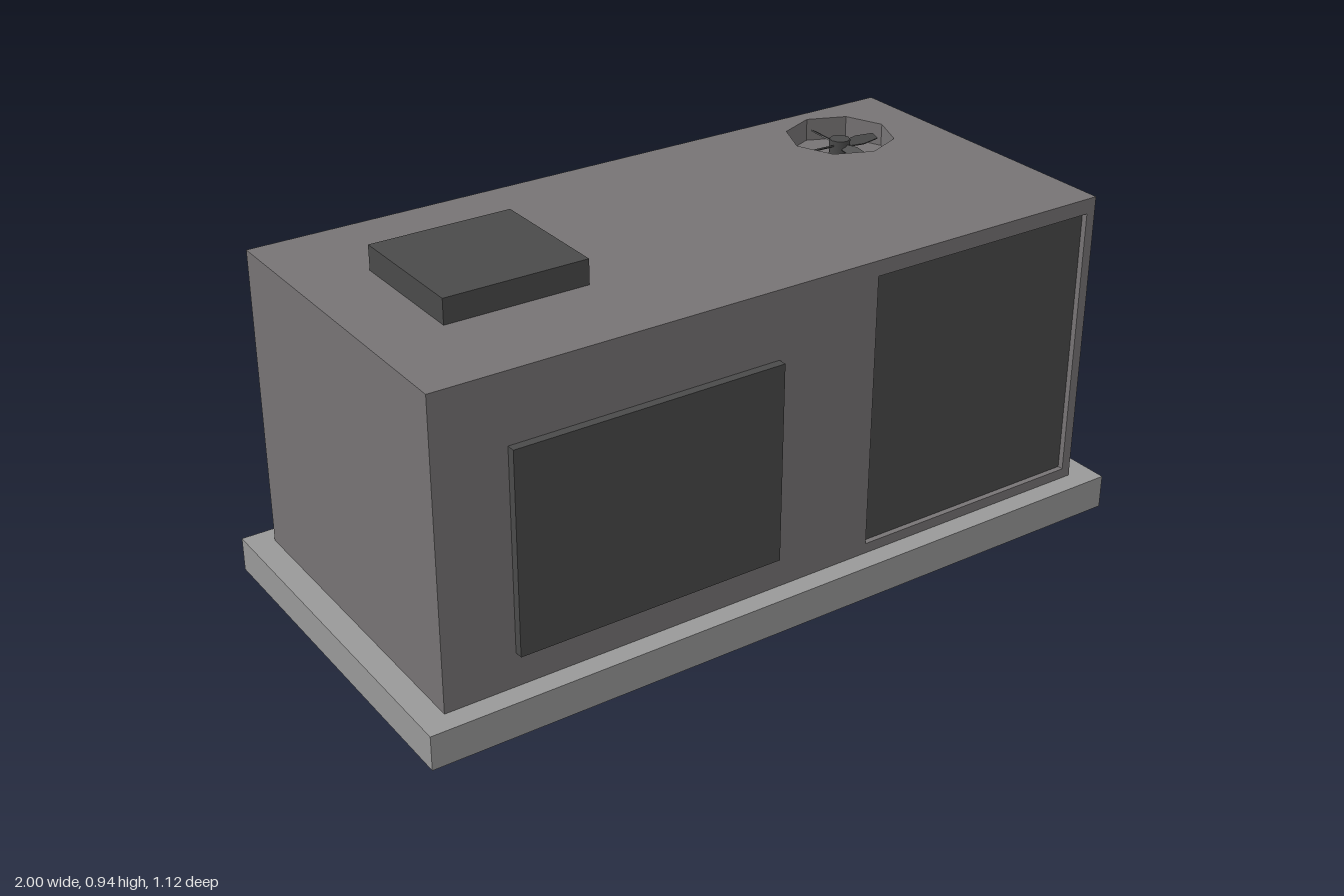
import * as THREE from 'three';

export function createModel() {
  const model = new THREE.Group();
  const mat = (name, color, side = THREE.FrontSide) => {
    const m = new THREE.MeshStandardMaterial({ color, side });
    m.name = name;
    return m;
  };
  const light = mat('lightGrey', 0x999999);
  const grey = mat('wallGrey', 0x777475);
  const dark = mat('darkGrey', 0x4a4a4a, THREE.DoubleSide);

  const add = (name, geometry, material, parent = model) => {
    const mesh = new THREE.Mesh(geometry, material);
    mesh.name = name;
    parent.add(mesh);
    return mesh;
  };
  // Box given by its limits on each axis
  const box = (name, [x0, x1], [y0, y1], [z0, z1], material) => {
    const mesh = add(name, new THREE.BoxGeometry(x1 - x0, y1 - y0, z1 - z0), material);
    mesh.position.set((x0 + x1) / 2, (y0 + y1) / 2, (z0 + z1) / 2);
    return mesh;
  };
  const rect = (path, [u0, u1], [v0, v1]) =>
    path.moveTo(u0, v0).lineTo(u1, v0).lineTo(u1, v1).lineTo(u0, v1).closePath();
  const slab = (u, v, hole, depth) => {
    const shape = rect(new THREE.Shape(), u, v);
    shape.holes.push(hole);
    return new THREE.ExtrudeGeometry(shape, { depth, bevelEnabled: false });
  };

  const X = [-0.935, 0.932], Y = [0.09, 0.88], Z = [-0.37, 0.505];
  const skin = 0.02, floorY = 0.82;
  const coreX = [X[0], X[1] - skin], coreZ = [Z[0] + skin, Z[1] - skin];

  // Base and inner body
  box('base', [-1, 1], [0, 0.09], [-0.423, 0.56], light);
  box('bodyCore', coreX, [Y[0], floorY], coreZ, grey);

  // Front and back walls with framed openings
  const openX = [0.245, 0.906], openY = [0.117, 0.84];
  for (const [side, z, paneZ] of [['front', coreZ[1], coreZ[1]], ['back', Z[0], coreZ[0] - 0.005]]) {
    const wall = slab(X, Y, rect(new THREE.Path(), openX, openY), skin);
    add(side + 'Wall', wall, grey).position.z = z;
    box(side + 'Pane', openX, openY, [paneZ, paneZ + 0.005], dark);
  }

  // End wall with its opening
  const endZ = [-0.335, 0.475];
  const endWall = slab([-coreZ[1], -coreZ[0]], Y,
    rect(new THREE.Path(), [-endZ[1], -endZ[0]], openY), skin);
  endWall.rotateY(Math.PI / 2);
  add('endWall', endWall, grey).position.x = coreX[1];
  box('endPane', [coreX[1], coreX[1] + 0.005], openY, endZ, dark);

  // Roof with an octagonal fan well
  const fanX = 0.677, fanZ = -0.187, fanR = 0.143;
  const well = new THREE.Path();
  for (let i = 0; i < 8; i++) {
    const a = i * Math.PI / 4;
    well[i ? 'lineTo' : 'moveTo'](fanX + fanR * Math.cos(a), -fanZ + fanR * Math.sin(a));
  }
  well.closePath();
  const roof = slab(coreX, [-coreZ[1], -coreZ[0]], well, Y[1] - floorY);
  roof.rotateX(-Math.PI / 2);
  add('roof', roof, grey).position.y = floorY;

  // Fan: hub and four swept, pitched blades
  const fan = new THREE.Group();
  fan.name = 'fan';
  fan.position.set(fanX, floorY, fanZ);
  model.add(fan);
  add('fanHub', new THREE.CylinderGeometry(0.028, 0.028, 0.05, 8), dark, fan).position.y = 0.025;
  const blade = new THREE.Shape();
  blade.moveTo(0.02, -0.01).lineTo(0.07, -0.014).lineTo(0.12, -0.006)
    .lineTo(0.116, 0.014).lineTo(0.06, 0.018).lineTo(0.02, 0.01).closePath();
  const bladeGeometry = new THREE.ExtrudeGeometry(blade, { depth: 0.004, bevelEnabled: false });
  bladeGeometry.rotateX(-Math.PI / 2 + 0.5);
  for (let i = 0; i < 4; i++) {
    const b = add('fanBlade', bladeGeometry, dark, fan);
    b.position.y = 0.03;
    b.rotation.y = i * Math.PI / 2 - 0.05;
  }

  // Attached panels and equipment boxes
  box('frontPanel', [-0.75, -0.037], [0.18, 0.703], [Z[1], 0.527], dark);
  box('backDoor', [-0.19, 0.12], [0.18, 0.615], [-0.387, Z[0]], dark);
  box('backUnit', [-0.75, -0.378], [0.265, 0.53], [-0.56, Z[0]], dark);
  box('roofUnit', [-0.75, -0.378], [Y[1], 0.944], [-0.105, 0.243], dark);
  return model;
}
